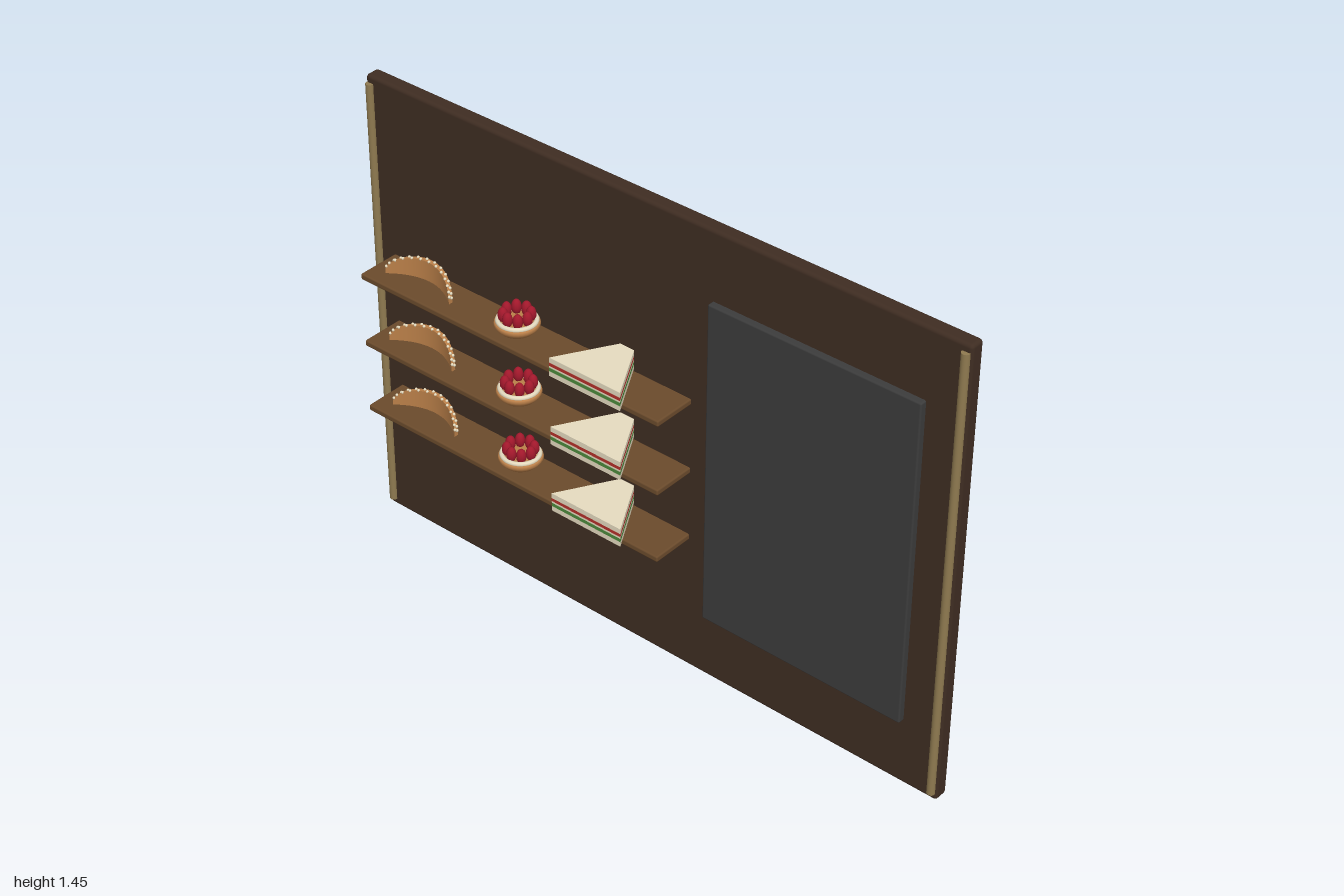
import * as THREE from 'three';
import { RoundedBoxGeometry } from 'three/addons/geometries/RoundedBoxGeometry.js';

const paint = (name, color) => {
  const m = new THREE.MeshStandardMaterial({ color });
  m.name = name;
  return m;
};

export function createModel() {
  const wood = paint('darkWood', 0x3f2d22);
  const shelfWood = paint('shelfWood', 0x6b4b2c);
  const brass = paint('trimGold', 0x8f7a50);
  const slate = paint('slate', 0x3c3c3c);
  const pastry = paint('pastry', 0xbb8049);
  const bread = paint('bread', 0xe6dcc0);
  const berryRed = paint('berryRed', 0xa3182c);
  const tomato = paint('tomatoRed', 0xb5302a);
  const lettuce = paint('lettuceGreen', 0x4c8a3c);

  const root = new THREE.Group();
  root.name = 'bakeryWall';

  const add = (parent, name, geometry, material, x = 0, y = 0, z = 0) => {
    const mesh = new THREE.Mesh(geometry, material);
    mesh.name = name;
    mesh.position.set(x, y, z);
    parent.add(mesh);
    return mesh;
  };

  // Wall panel, gold side rods and menu board
  add(root, 'wallPanel', new RoundedBoxGeometry(2, 1.445, 0.047, 2, 0.011), wood, 0, 0.7225, -0.0835);
  for (const side of [-1, 1]) {
    add(root, 'sideTrim', new THREE.CylinderGeometry(0.012, 0.012, 1.4, 16), brass, side * 0.983, 0.7225, -0.058);
  }
  add(root, 'menuBoard', new RoundedBoxGeometry(0.665, 1.02, 0.026, 2, 0.005), slate, 0.5475, 0.725, -0.053);

  // Curved half-moon pastry with a sugared rim
  const half = 0.12;
  const domeHeight = (u) => 0.016 + 0.046 * Math.sqrt(Math.max(0, 1 - u * u));
  const bend = (u) => -0.022 + 0.048 * u * u;
  const crescentGeometry = new THREE.BoxGeometry(2, 1, 0.014, 32, 4, 1);
  const p = crescentGeometry.attributes.position;
  for (let i = 0; i < p.count; i++) {
    const u = p.getX(i);
    p.setXYZ(i, u * half, (p.getY(i) + 0.5) * domeHeight(u), p.getZ(i) + bend(u));
  }
  crescentGeometry.computeVertexNormals();
  const grain = new THREE.SphereGeometry(0.0045, 8, 6);

  function makeCrescent() {
    const g = new THREE.Group();
    g.name = 'crescentPastry';
    add(g, 'pastryBody', crescentGeometry, pastry);
    const count = 27;
    for (let i = 0; i < count; i++) {
      const u = -Math.cos((i / (count - 1)) * Math.PI);
      add(g, 'sugarGrain', grain, bread, u * half, domeHeight(u), bend(u) + (i % 2 ? 0.004 : -0.004));
    }
    return g;
  }

  // Berry tart: shell, cream ring and a circle of berries
  const shellGeometry = new THREE.LatheGeometry(
    [[0, 0], [0.048, 0], [0.058, 0.01], [0.064, 0.02], [0.062, 0.028], [0.05, 0.031], [0, 0.031]]
      .map(([x, y]) => new THREE.Vector2(x, y)), 32);
  const creamGeometry = new THREE.TorusGeometry(0.053, 0.007, 8, 32).rotateX(Math.PI / 2);
  const berryGeometry = new THREE.SphereGeometry(0.0145, 12, 8).scale(1, 1.6, 1);

  function makeTart() {
    const g = new THREE.Group();
    g.name = 'berryTart';
    add(g, 'tartShell', shellGeometry, pastry);
    add(g, 'creamRing', creamGeometry, bread, 0, 0.031, 0);
    for (let i = 0; i < 8; i++) {
      const a = (i / 8) * Math.PI * 2;
      add(g, 'berry', berryGeometry, berryRed, Math.sin(a) * 0.038, 0.048, Math.cos(a) * 0.038);
    }
    return g;
  }

  // Triangular layered sandwich, wide edge to the front
  const radius = 0.1415;
  const triangle = new THREE.Shape([90, 210, 330].map((d) => {
    const a = THREE.MathUtils.degToRad(d);
    return new THREE.Vector2(Math.cos(a) * radius, Math.sin(a) * radius);
  }));
  const layers = [
    ['lowerBread', bread, 0, 0.015],
    ['lettuce', lettuce, 0.015, 0.026],
    ['middleBread', bread, 0.026, 0.032],
    ['tomato', tomato, 0.032, 0.042],
    ['upperBread', bread, 0.042, 0.058],
  ].map(([name, material, low, high]) => ({
    name, material, low,
    geometry: new THREE.ExtrudeGeometry(triangle, { depth: high - low, bevelEnabled: false }).rotateX(-Math.PI / 2),
  }));

  function makeSandwich() {
    const g = new THREE.Group();
    g.name = 'sandwich';
    for (const l of layers) add(g, l.name, l.geometry, l.material, 0, l.low, 0);
    return g;
  }

  // Three shelves, each with the same row of food
  const shelfGeometry = new RoundedBoxGeometry(1.075, 0.019, 0.145, 2, 0.005);
  for (const top of [0.902, 0.68, 0.458]) {
    const row = new THREE.Group();
    row.name = 'shelfRow';
    row.position.y = top;
    add(row, 'shelf', shelfGeometry, shelfWood, -0.3875, -0.0095, 0.001);
    const crescent = makeCrescent();
    crescent.position.set(-0.745, 0.008, 0.003);
    const tart = makeTart();
    tart.position.set(-0.406, 0.006, 0);
    const sandwich = makeSandwich();
    sandwich.position.set(-0.069, 0.009, 0.04);
    row.add(crescent, tart, sandwich);
    root.add(row);
  }
  return root;
}
